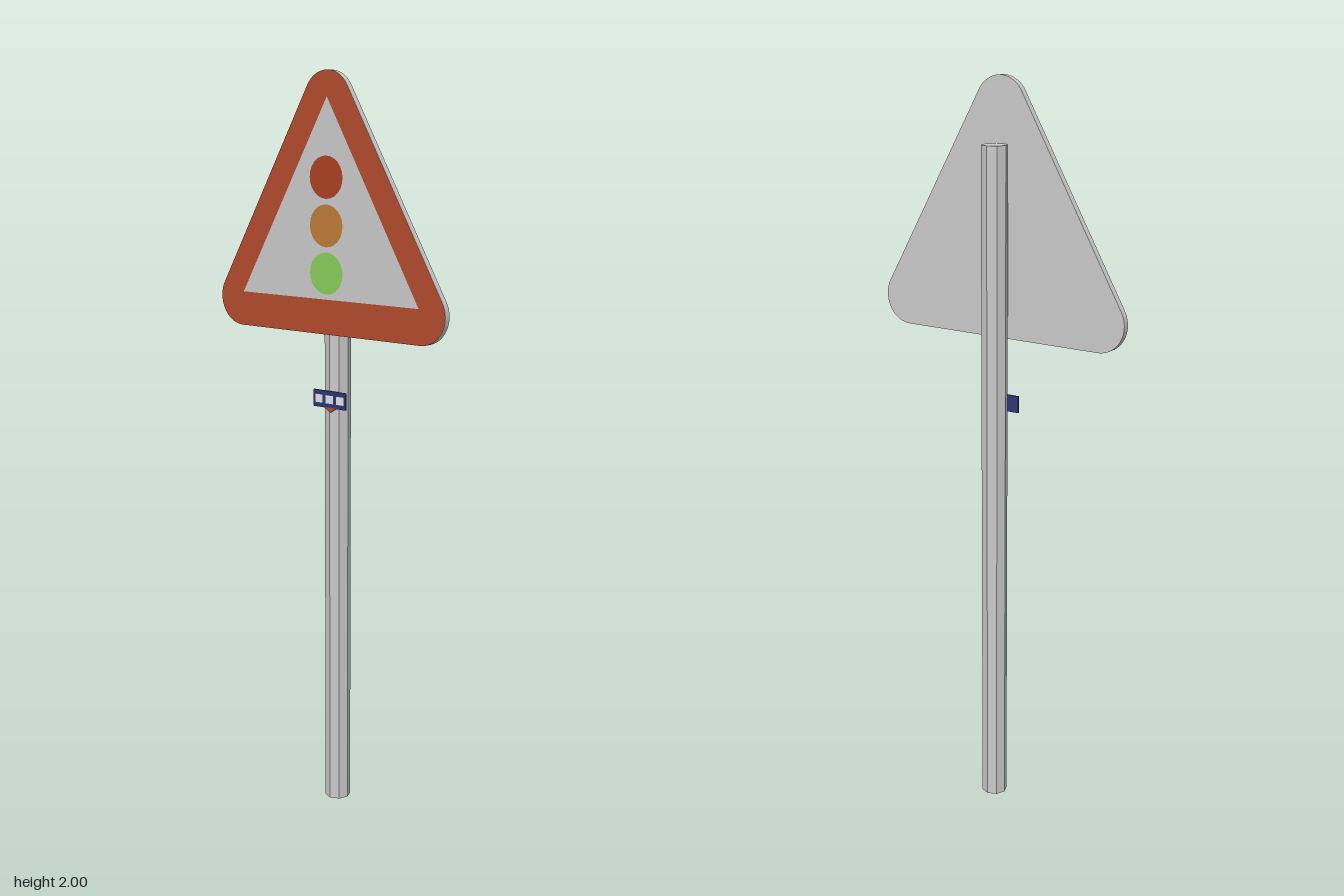
import * as THREE from 'three';

const mat = (name, color, side = THREE.FrontSide) => {
  const m = new THREE.MeshStandardMaterial({ color, side });
  m.name = name;
  return m;
};

// Triangle with rounded corners: arcs of radius r around three corner centres
function roundedTriangle(halfBase, low, high, r) {
  const s = new THREE.Shape();
  const third = (Math.PI * 2) / 3;
  [[halfBase, low], [0, high], [-halfBase, low]].forEach(([x, y], i) => {
    const start = -Math.PI / 2 + i * third;
    s.absarc(x, y, r, start, start + third, false);
  });
  s.closePath();
  return s;
}

export function createModel() {
  const group = new THREE.Group();
  const grey = mat('metalGrey', 0xc9c9c9);
  const rimRed = mat('rimRed', 0xb14b2d);
  const lampRed = mat('lampRed', 0xaa4024);
  const amber = mat('lampAmber', 0xbc7b38);
  const green = mat('lampGreen', 0x86cc5a);
  const navy = mat('badgeNavy', 0x2c3674);
  const white = mat('badgeWhite', 0xe6e6ea);

  const add = (name, geometry, material, x = 0, y = 0, z = 0) => {
    const mesh = new THREE.Mesh(geometry, material);
    mesh.name = name;
    mesh.position.set(x, y, z);
    group.add(mesh);
    return mesh;
  };

  // Eight-sided post behind the sign
  const post = new THREE.CylinderGeometry(0.035, 0.035, 1.83, 8).toNonIndexed();
  post.computeVertexNormals();
  add('post', post, grey, -0.007, 0.915, -0.009);

  // Sign plate
  const front = 0.043;
  const outline = () => roundedTriangle(0.302, 1.401, 1.924, 0.076);
  add('signPlate', new THREE.ExtrudeGeometry(outline(), {
    depth: 0.018, bevelEnabled: false, curveSegments: 12,
  }), grey, 0, 0, front - 0.018);

  // Red border with a sharp triangular opening
  const border = outline();
  border.holes.push(new THREE.Path([
    new THREE.Vector2(-0.297, 1.417),
    new THREE.Vector2(0, 1.934),
    new THREE.Vector2(0.297, 1.417),
  ]));
  add('redBorder', new THREE.ShapeGeometry(border, 12), rimRed, 0, 0, front + 0.0008);

  // Three lamp discs
  [['redLamp', lampRed, 1.732], ['amberLamp', amber, 1.608], ['greenLamp', green, 1.485]]
    .forEach(([name, m, y]) =>
      add(name, new THREE.CircleGeometry(0.055, 24), m, -0.003, y, front + 0.0009));

  // Small plain badge on the post, with pale panels and a red point below
  add('badgePlate', new THREE.BoxGeometry(0.11, 0.046, 0.004), navy, -0.003, 1.149, 0.029);
  [-0.036, 0, 0.036].forEach((x) =>
    add('badgePanel', new THREE.PlaneGeometry(0.026, 0.022), white, x - 0.003, 1.149, 0.0316));
  const point = new THREE.Shape([
    new THREE.Vector2(-0.022, 0), new THREE.Vector2(0, -0.014), new THREE.Vector2(0.022, 0),
  ]);
  add('badgePoint', new THREE.ExtrudeGeometry(point, { depth: 0.003, bevelEnabled: false }),
    rimRed, 0, 1.128, 0.0285);

  return group;
}
